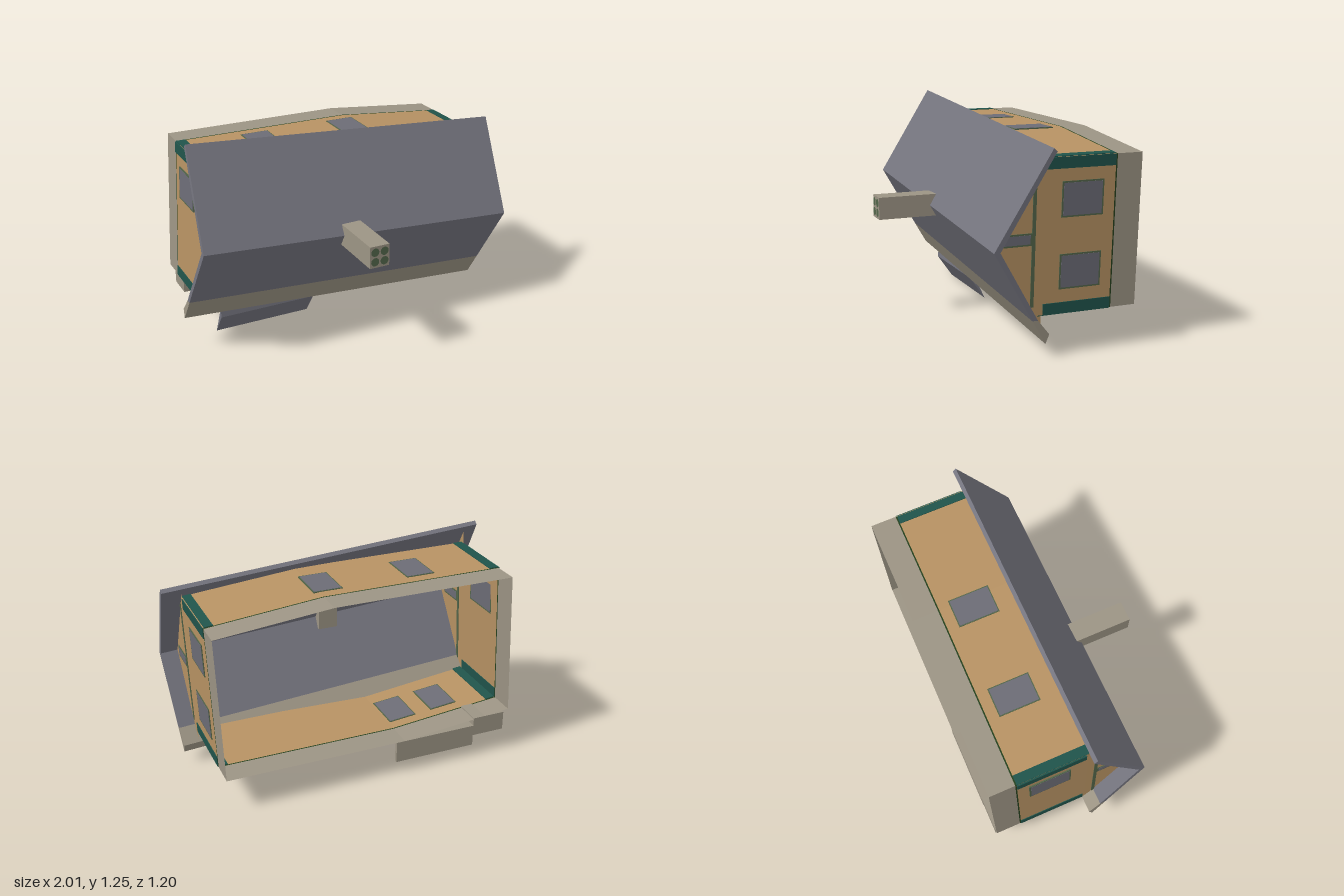
import * as THREE from 'three';

const mat = (name, color) => Object.assign(new THREE.MeshStandardMaterial({ color, side: THREE.DoubleSide }), { name });

export function createModel() {
  const model = new THREE.Group();
  const M = {
    wall: mat('tan wall', 0xb79263),
    base: mat('beige stone', 0x9c9484),
    roof: mat('grey roof', 0x74747e),
    glass: mat('grey glass', 0x6c6c76),
    trim: mat('teal trim', 0x20544b),
    frame: mat('green frame', 0x53664a),
    dark: mat('dark green', 0x25401d),
  };
  const add = (name, geo, material, parent = model) => {
    const m = new THREE.Mesh(geo, material);
    m.name = name;
    parent.add(m);
    return m;
  };
  const box = (name, material, x0, x1, y0, y1, z0, z1) => {
    const m = add(name, new THREE.BoxGeometry(x1 - x0, y1 - y0, z1 - z0), material);
    m.position.set((x0 + x1) / 2, (y0 + y1) / 2, (z0 + z1) / 2);
    return m;
  };
  // flat triangles from a list of [x, y, z] points
  const faces = (pts) => {
    const g = new THREE.BufferGeometry();
    g.setAttribute('position', new THREE.Float32BufferAttribute(pts.flat(), 3));
    g.computeVertexNormals();
    return g;
  };
  // [z, y] profile extruded along x
  const prism = (profile, x0, x1) => {
    const s = new THREE.Shape(profile.map(([z, y]) => new THREE.Vector2(-z, y)));
    return new THREE.ExtrudeGeometry(s, { depth: x1 - x0, bevelEnabled: false })
      .rotateY(Math.PI / 2).translate(x0, 0, 0);
  };

  // House lies on its back; body outline in x, y, open at the back
  const outline = [[-0.9, 0.265], [-0.22, 0.2], [0.85, 0.2], [0.89, 1.055], [0.22, 1.12], [-0.855, 1.12]];
  const band = (z0, z1) => {
    const pts = [];
    outline.forEach(([ax, ay], i) => {
      const [bx, by] = outline[(i + 1) % outline.length];
      pts.push([ax, ay, z0], [bx, by, z0], [bx, by, z1], [ax, ay, z0], [bx, by, z1], [ax, ay, z1]);
    });
    return faces(pts);
  };
  add('foundation', band(-0.6, -0.45), M.base);
  add('foundationTrim', band(-0.45, -0.442), M.dark);
  add('walls', band(-0.442, -0.01), M.wall);

  // End walls lean slightly with the tilt of the house
  const lean = 0.047;
  const endX = (side, y) => (side > 0 ? 0.85 + (y - 0.2) * lean : -0.9 + (y - 0.265) * lean);
  const endPlate = (name, material, side, y0, y1, z0, z1, t) => {
    const y = (y0 + y1) / 2;
    const m = add(name, new THREE.BoxGeometry(t, y1 - y0, z1 - z0), material);
    m.position.set(endX(side, y), y, (z0 + z1) / 2);
    m.rotation.z = -lean;
  };
  const endWindow = (side, y0, y1, z0, z1) => {
    endPlate('windowFrame', M.frame, side, y0, y1, z0, z1, 0.007);
    const b = 0.009;
    endPlate('windowGlass', M.glass, side, y0 + b, y1 - b, z0 + b, z1 - b, 0.0095);
  };
  for (const side of [1, -1]) {
    const dy = side > 0 ? 0 : 0.065;
    const mid = 0.66 - side * 0.058;
    const p = [[mid - 0.48, -0.03], [mid + 0.48, -0.03], [mid, 0.255]];
    add('gable', faces(p.map(([y, z]) => [endX(side, y), y, z])), M.wall);
    endPlate('gableTrim', M.frame, side, 0.25 + dy, 1.02 + dy, 0.015, 0.035, 0.006);
    endPlate('cornerTrim', M.trim, side, 0.2 + dy, 0.262 + dy, -0.442, -0.04, 0.008);
    endPlate('cornerTrim', M.trim, side, 0.993 + dy, 1.055 + dy, -0.442, -0.04, 0.008);
    endWindow(side, 0.73 + dy, 0.925 + dy, -0.375, -0.13);
    if (side > 0) endWindow(side, 0.335, 0.53, -0.375, -0.13);
    endWindow(side, mid - 0.01, mid + 0.058, 0.035, 0.2);
  }

  // Long walls: each is level, then slopes toward one end
  const SLOPE = 0.065 / 0.67;
  const longPlate = (name, material, side, x0, x1, z0, z1, t) => {
    const x = (x0 + x1) / 2;
    const past = Math.max(0, side * x - 0.22);
    const m = add(name, new THREE.BoxGeometry(x1 - x0, t, z1 - z0), material);
    m.position.set(x, 0.66 + side * (0.46 - past * SLOPE), (z0 + z1) / 2);
    m.rotation.z = past > 0 ? -Math.atan(SLOPE) : 0;
  };
  const longWindow = (side, x0, x1) => {
    longPlate('windowFrame', M.frame, side, x0, x1, -0.378, -0.138, 0.007);
    longPlate('windowGlass', M.glass, side, x0 + 0.006, x1 - 0.006, -0.372, -0.144, 0.0095);
  };
  longWindow(1, -0.48, -0.31);
  longWindow(1, 0.08, 0.25);
  longWindow(-1, -0.4, -0.23);
  longWindow(-1, -0.67, -0.5);
  longPlate('cornerTrim', M.trim, 1, -0.855, -0.8, -0.442, -0.01, 0.008);
  longPlate('cornerTrim', M.trim, 1, 0.835, 0.885, -0.442, -0.01, 0.008);
  longPlate('cornerTrim', M.trim, -1, -0.895, -0.84, -0.442, -0.01, 0.008);
  longPlate('cornerTrim', M.trim, -1, 0.795, 0.85, -0.442, -0.01, 0.008);

  // Tilted gable roof, with a beige strip along the lower eave
  const roof = new THREE.Group();
  roof.name = 'roof';
  roof.position.y = 0.66;
  roof.rotation.z = -0.0669;
  model.add(roof);
  const L = 0.973;
  add('upperRoof', prism([[0.29, 0], [-0.02, 0.527], [-0.04, 0.51], [0.255, 0]], -L, L), M.roof, roof);
  add('lowerRoof', prism([[0.29, 0], [0.255, 0], [0.029, -0.39], [0.061, -0.39]], -L, L), M.roof, roof);
  add('eaveStrip', prism([[0.061, -0.39], [0.029, -0.39], [-0.04, -0.475], [-0.02, -0.527]], -L, L), M.base, roof);

  // Porch roof
  add('porchRoof', prism([[-0.035, 0.2], [-0.03, 0.14], [-0.13, 0]], -0.78, -0.185), M.roof);

  // Chimney with four flues
  box('chimney', M.base, -0.13, -0.01, 0.597, 0.727, 0.2, 0.6);
  for (const sx of [-1, 1]) for (const sy of [-1, 1]) {
    add('flue', new THREE.CircleGeometry(0.025, 16), M.frame)
      .position.set(-0.07 + sx * 0.029, 0.662 + sy * 0.029, 0.602);
  }

  // Steps and landing by the porch
  [-0.58, -0.555, -0.53, -0.5, -0.467].forEach((top, i) => {
    box('step', M.base, -0.27 - i * 0.1, -0.17 - i * 0.1, 0.07, 0.2, -0.6, top);
  });
  box('landing', M.base, -0.87, -0.67, 0.135, 0.25, -0.6, -0.442);
  return model;
}
